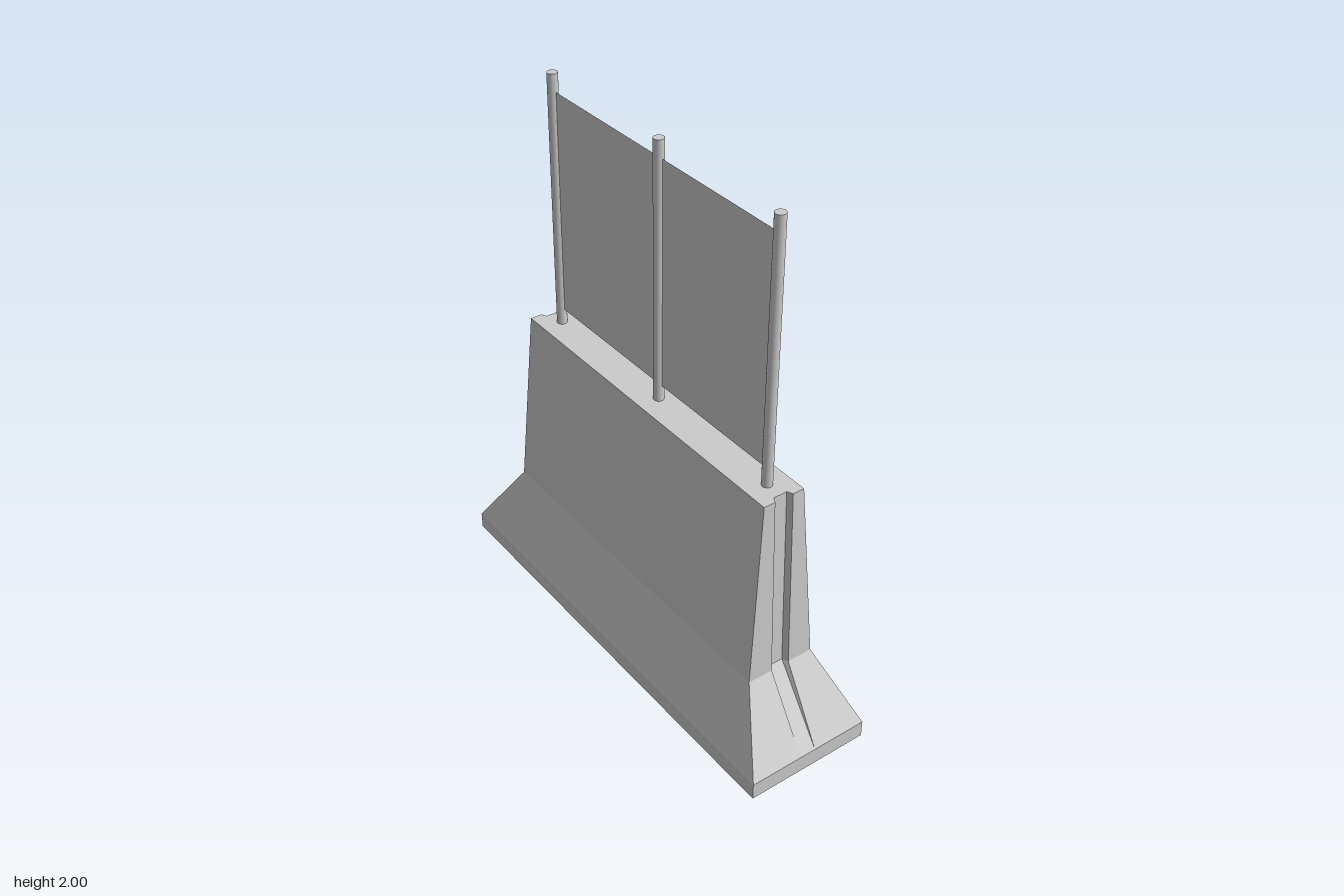
import * as THREE from 'three';

const material = new THREE.MeshStandardMaterial({ color: 0xcccccc, flatShading: true });

// Barrier levels: height, half length, half depth, end groove depth
const LEVELS = [
  [0, 0.87, 0.24, 0],
  [0.065, 0.87, 0.24, 0],
  [0.335, 0.698, 0.132, 0.022],
  [1.035, 0.67, 0.08, 0.02],
];

// Horizontal section, counter-clockwise seen from above, as (x, -z)
function section([, hx, hz, groove]) {
  const end = [
    [hx, -hz], [hx, -0.036], [hx - groove, -0.026],
    [hx - groove, 0.026], [hx, 0.036], [hx, hz],
  ];
  return [...end, ...end.map(([x, z]) => [-x, -z])].map(([x, z]) => new THREE.Vector2(x, z));
}

function barrierGeometry() {
  const positions = [];
  const rings = LEVELS.map((level) => section(level).map((p) => [p.x, level[0], -p.y]));
  const tri = (a, b, c) => positions.push(...a, ...b, ...c);

  // Walls between neighbouring levels
  for (let i = 0; i < rings.length - 1; i++) {
    const low = rings[i], high = rings[i + 1];
    for (let j = 0; j < low.length; j++) {
      const k = (j + 1) % low.length;
      tri(low[j], low[k], high[k]);
      tri(low[j], high[k], high[j]);
    }
  }

  // Grooved top cap
  const top = rings[rings.length - 1];
  const outline = section(LEVELS[LEVELS.length - 1]);
  for (const [a, b, c] of THREE.ShapeUtils.triangulateShape(outline, [])) tri(top[a], top[b], top[c]);

  // Rectangular underside
  const base = rings[0];
  tri(base[0], base[6], base[5]);
  tri(base[0], base[11], base[6]);

  const geometry = new THREE.BufferGeometry();
  geometry.setAttribute('position', new THREE.Float32BufferAttribute(positions, 3));
  geometry.computeVertexNormals();
  return geometry;
}

export function createModel() {
  const model = new THREE.Group();
  model.name = 'barrierWithScreen';

  const barrier = new THREE.Mesh(barrierGeometry(), material);
  barrier.name = 'concreteBarrier';
  model.add(barrier);

  // Round posts standing on the barrier
  const postMaterial = new THREE.MeshStandardMaterial({ color: 0xcccccc });
  const postX = [-0.585, 0.008, 0.585];
  const postGeometry = new THREE.CylinderGeometry(0.019, 0.019, 0.965, 24);
  postX.forEach((x, i) => {
    const post = new THREE.Mesh(postGeometry, postMaterial);
    post.name = `post${i + 1}`;
    post.position.set(x, 1.5175, 0);
    model.add(post);
  });

  // Thin screens between the posts
  const screenMaterial = new THREE.MeshStandardMaterial({ color: 0xcccccc, side: THREE.DoubleSide });
  for (let i = 0; i < 2; i++) {
    const width = postX[i + 1] - postX[i];
    const screen = new THREE.Mesh(new THREE.PlaneGeometry(width, 0.84), screenMaterial);
    screen.name = `screen${i + 1}`;
    screen.position.set(postX[i] + width / 2, 1.515, 0);
    model.add(screen);
  }
  return model;
}
